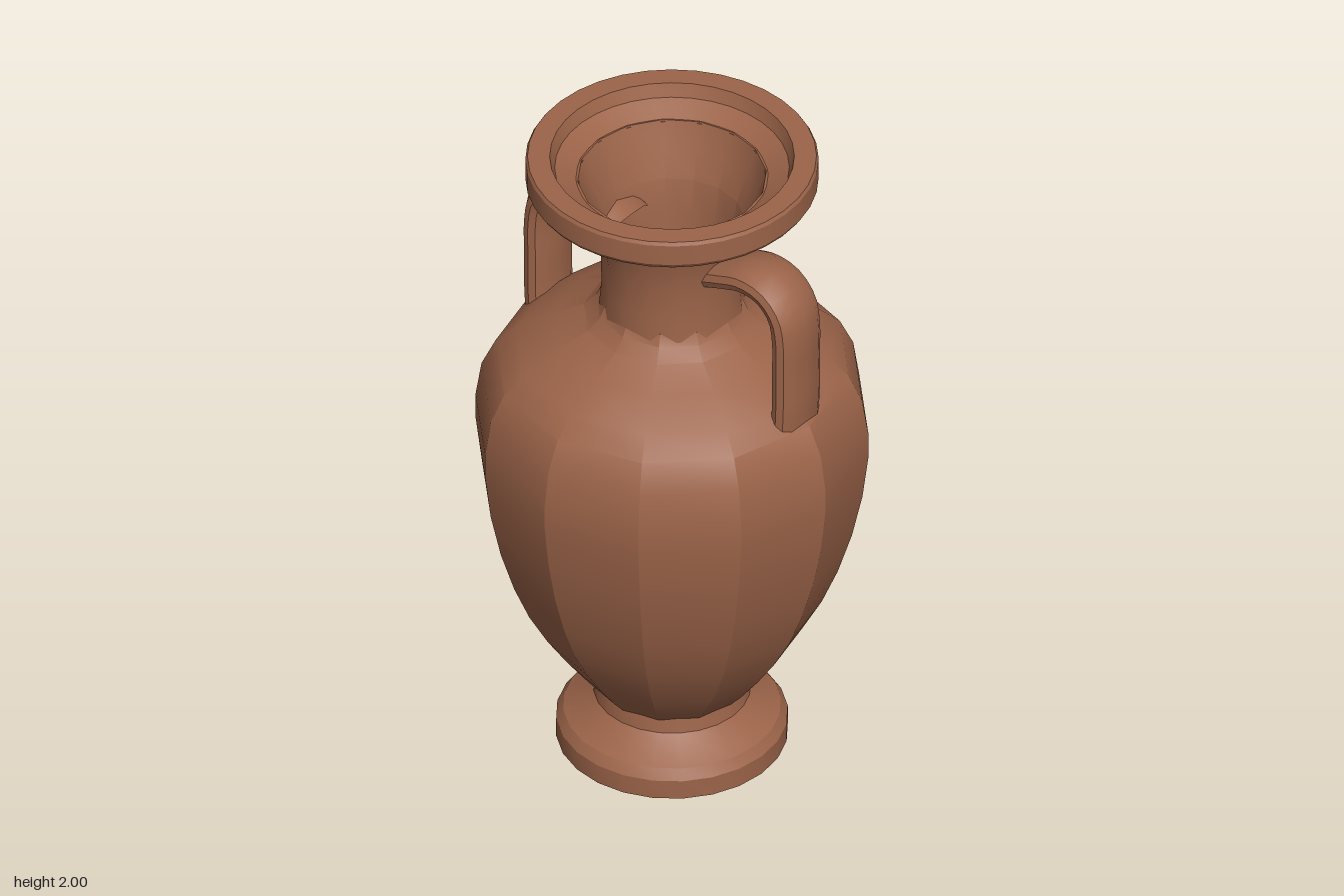
import * as THREE from 'three';
import { toCreasedNormals } from 'three/addons/utils/BufferGeometryUtils.js';

export function createModel() {
  const model = new THREE.Group();
  model.name = 'amphora';
  const clay = new THREE.MeshStandardMaterial({ color: 0x9c6449 });
  clay.name = 'terracotta';

  const add = (name, geometry, crease = 0.42) => {
    const mesh = new THREE.Mesh(toCreasedNormals(geometry, crease), clay);
    mesh.name = name;
    model.add(mesh);
    return mesh;
  };
  const turned = (name, profile, sides) =>
    add(name, new THREE.LatheGeometry(profile.map(([r, y]) => new THREE.Vector2(r, y)), sides));

  // Round spreading foot
  turned('foot', [
    [0, 0], [0.325, 0], [0.325, 0.06], [0.305, 0.09], [0.25, 0.122],
    [0.22, 0.15], [0.212, 0.2], [0, 0.2],
  ], 24);

  // Twelve-sided belly and shoulder, closed at the base of the neck
  turned('body', [
    [0, 0.19], [0.215, 0.19], [0.25, 0.23], [0.31, 0.31], [0.37, 0.4], [0.425, 0.5],
    [0.47, 0.61], [0.51, 0.74], [0.54, 0.88], [0.557, 1.02], [0.557, 1.1], [0.54, 1.21],
    [0.5, 1.295], [0.44, 1.35], [0.34, 1.41], [0.25, 1.455], [0.215, 1.49], [0.2, 1.525], [0, 1.525],
  ], 12);

  // Hollow flaring neck
  turned('neck', [
    [0.205, 1.5], [0.198, 1.58], [0.2, 1.68], [0.212, 1.76], [0.232, 1.83], [0.265, 1.89],
    [0.285, 1.925], [0.265, 1.93], [0.24, 1.86], [0.205, 1.77], [0.185, 1.66], [0.178, 1.515],
  ], 16);

  // Wide lip with a stepped inner ledge
  turned('rim', [
    [0.25, 1.91], [0.4, 1.91], [0.41, 1.925], [0.41, 1.99], [0.404, 2], [0.342, 2],
    [0.328, 1.96], [0.262, 1.925],
  ], 36);

  // Strap handles: a tube flattened into a wide, rounded band
  for (const side of [1, -1]) {
    const path = new THREE.CatmullRomCurve3([
      [0.16, 1.69], [0.23, 1.716], [0.31, 1.74], [0.385, 1.727], [0.435, 1.675],
      [0.45, 1.6], [0.45, 1.48], [0.45, 1.38], [0.445, 1.28],
    ].map(([x, y]) => new THREE.Vector3(side * x, y, 0)));
    const strap = new THREE.TubeGeometry(path, 24, 0.041, 12, false);
    const p = strap.attributes.position;
    for (let i = 0; i < p.count; i++) {
      const s = p.getZ(i) / 0.041;
      p.setZ(i, 0.088 * Math.sign(s) * Math.pow(Math.abs(s), 0.65));
    }
    add(side > 0 ? 'leftHandle' : 'rightHandle', strap, 0.6);
  }
  return model;
}
